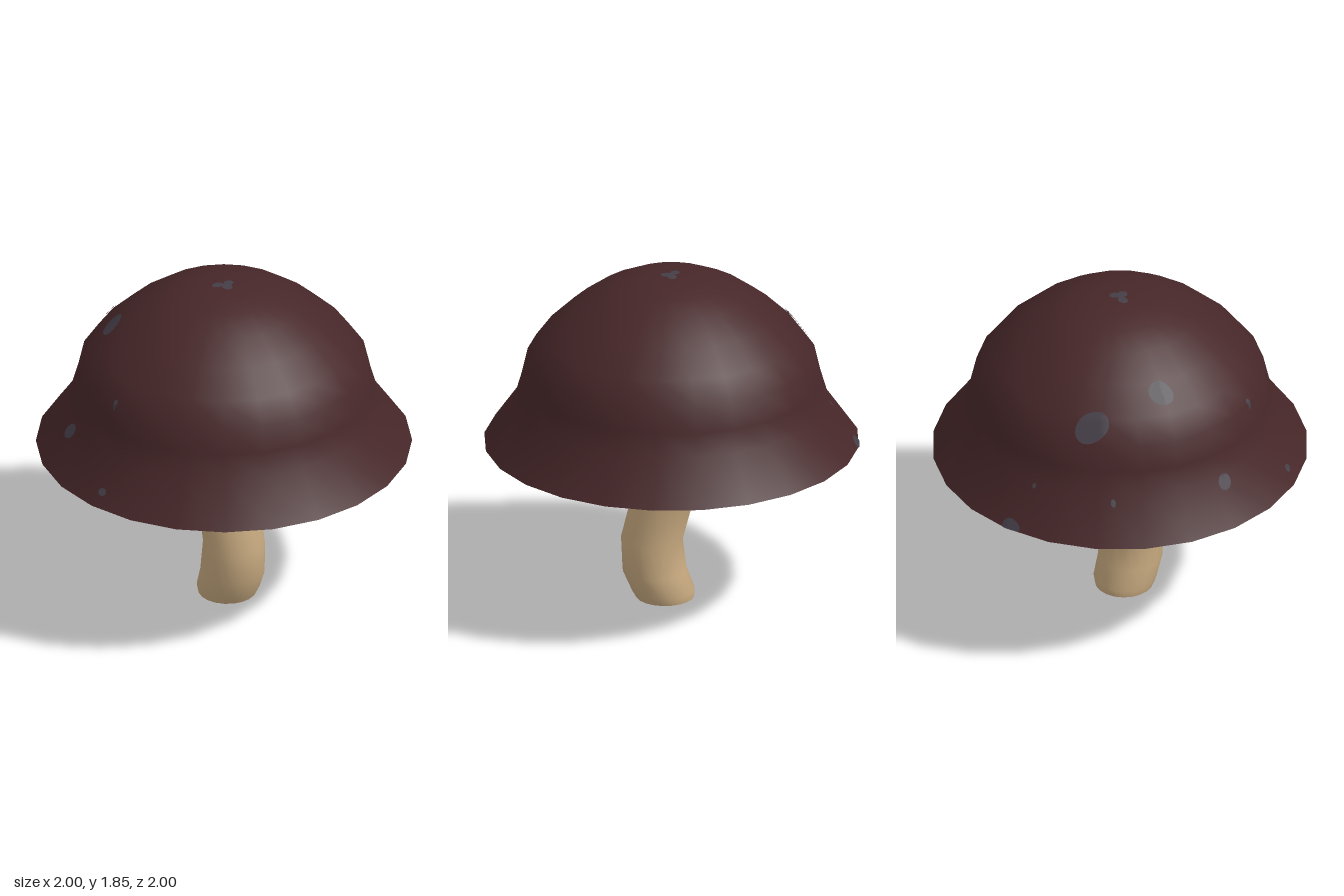
import * as THREE from 'three';
import { toCreasedNormals } from 'three/addons/utils/BufferGeometryUtils.js';

const SIDES = 24;
const material = (name, color) => new THREE.MeshStandardMaterial({ name, color });
const points = (list) => list.map(([r, y]) => new THREE.Vector2(r, y));

// Outer cap, from rim to crown: radius, height
const capProfile = [
  [1, 0.895], [0.835, 1.13], [0.8, 1.25], [0.768, 1.39], [0.68, 1.51], [0.55, 1.635],
  [0.405, 1.74], [0.27, 1.805], [0.15, 1.83], [0, 1.84],
];

// Stem rings: radius, height, forward offset
const stemRings = [
  [0, 0, 0.035], [0.155, 0, 0.035], [0.168, 0.04, 0.045], [0.172, 0.15, 0.09],
  [0.165, 0.33, 0.105], [0.167, 0.55, 0.05], [0.173, 0.78, -0.02], [0.177, 0.9, -0.025],
  [0.19, 1.12, 0], [0, 1.12, 0],
];

function lathe(profile, sides = SIDES) {
  return new THREE.LatheGeometry(points(profile), sides);
}

// Point just above the faceted cap at a given x, z
function onCap(x, z) {
  const step = (Math.PI * 2) / SIDES;
  const angle = Math.atan2(x, z);
  const local = (((angle % step) + step) % step) - step / 2;
  const r = Math.min(1, (Math.hypot(x, z) * Math.cos(local)) / Math.cos(step / 2));
  let i = 0;
  while (i < capProfile.length - 2 && r < capProfile[i + 1][0]) i++;
  const [r0, y0] = capProfile[i];
  const [r1, y1] = capProfile[i + 1];
  const y = y0 + ((y1 - y0) * (r0 - r)) / (r0 - r1);
  const normal = new THREE.Vector2(y1 - y0, r0 - r1).normalize().multiplyScalar(0.006);
  const radius = (r * Math.cos(step / 2)) / Math.cos(local) + normal.x;
  return [Math.sin(angle) * radius, y + normal.y, Math.cos(angle) * radius];
}

// Thin elliptical patch that follows the cap
function spotGeometry([cx, cz, a, b, turn]) {
  const geo = new THREE.RingGeometry(0.001, 1, 24, 4);
  const pos = geo.attributes.position;
  for (let i = 0; i < pos.count; i++) {
    const u = pos.getX(i) * a;
    const v = -pos.getY(i) * b;
    const x = cx + u * Math.cos(turn) - v * Math.sin(turn);
    const z = cz + u * Math.sin(turn) + v * Math.cos(turn);
    pos.setXYZ(i, ...onCap(x, z));
  }
  geo.computeVertexNormals();
  return geo;
}

export function createModel() {
  const group = new THREE.Group();
  const capBrown = material('cap brown', 0x472729);
  const cream = material('cream flesh', 0xc8aa80);
  const spotGrey = material('spot grey', 0x443e47);

  const add = (name, geometry, mat) => {
    const mesh = new THREE.Mesh(geometry, mat);
    mesh.name = name;
    group.add(mesh);
  };

  // Cap and its hollow underside
  add('cap', toCreasedNormals(lathe(capProfile), 0.7), capBrown);
  add('capUnderside', toCreasedNormals(lathe([[0, 1.3], [0.61, 1.3], [1, 0.895]]), 0.6), cream);
  add('gillPlate', toCreasedNormals(lathe([[0, 1.22], [0.586, 1.22], [0.612, 1.3]]), 0.6), cream);

  // Bent stem: a lathe whose rings are shifted forward or back
  const stem = lathe(stemRings, 20);
  const pos = stem.attributes.position;
  for (let i = 0; i < pos.count; i++) {
    pos.setZ(i, pos.getZ(i) + stemRings[i % stemRings.length][2]);
  }
  add('stem', toCreasedNormals(stem, 0.8), cream);

  // Spots: x, z, half length, half width, turn
  const spots = [
    [-0.3, -0.637, 0.09, 0.052, -0.65],
    [-0.505, -0.305, 0.067, 0.047, -0.75],
    [-0.835, -0.182, 0.025, 0.042, 0],
    [-0.025, -0.985, 0.055, 0.022, 0],
    [-0.905, 0.275, 0.012, 0.024, -0.4],
    [-0.745, 0.14, 0.012, 0.014, 0],
    [-0.49, -0.7, 0.014, 0.012, 0],
    [-0.07, -0.84, 0.01, 0.009, 0],
    [-0.03, -0.015, 0.03, 0.024, 0.2],
    [0.03, -0.005, 0.03, 0.024, -0.4],
    [0.005, 0.025, 0.026, 0.032, 0],
  ];
  spots.forEach((s, i) => add(`spot${i + 1}`, spotGeometry(s), spotGrey));
  return group;
}
